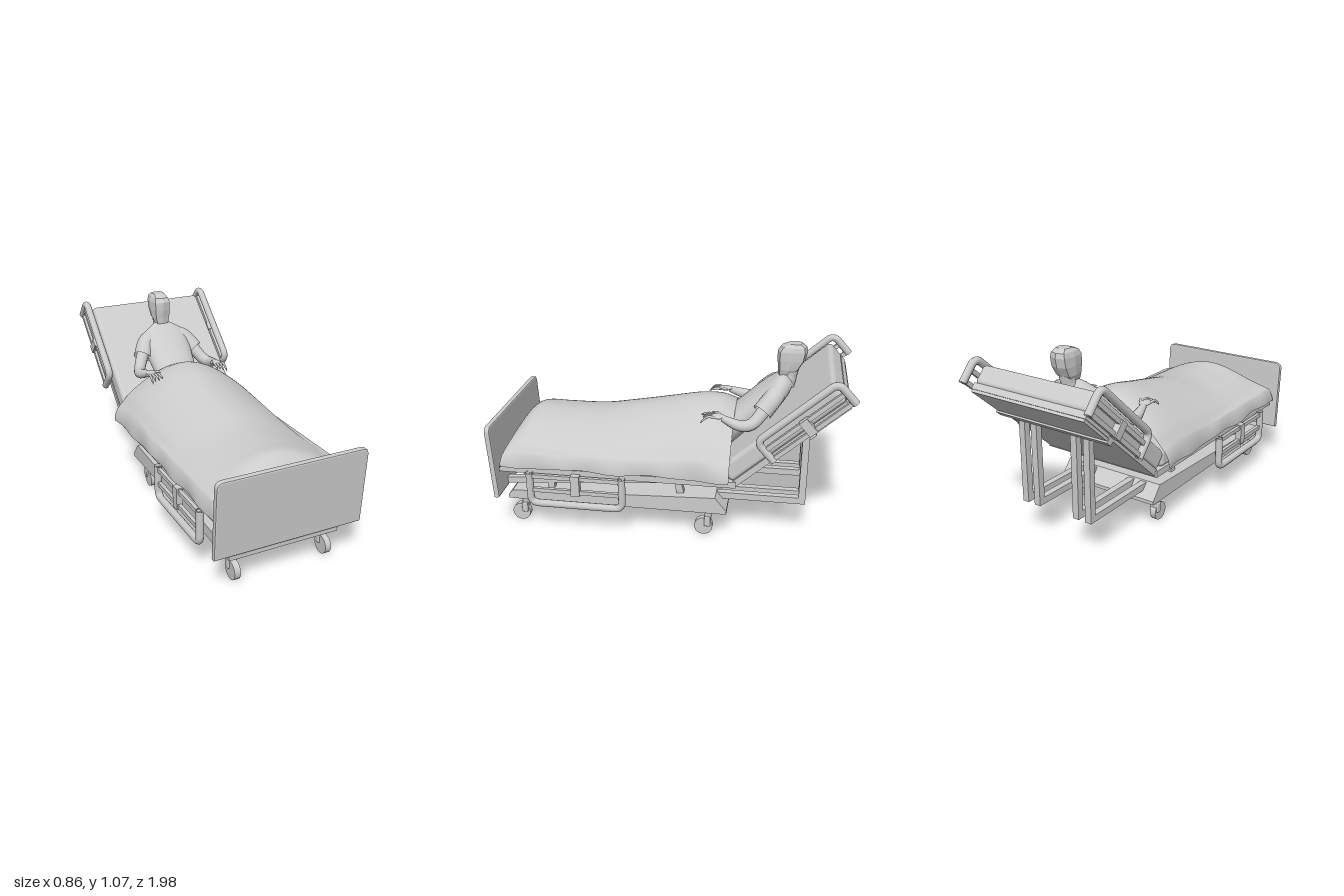
import * as THREE from 'three';
import { mergeVertices } from 'three/addons/utils/BufferGeometryUtils.js';
import { RoundedBoxGeometry } from 'three/addons/geometries/RoundedBoxGeometry.js';

const V = (x, y, z) => new THREE.Vector3(x, y, z);
const grey = new THREE.MeshStandardMaterial({ color: 0xcccccc });
const greyFlat = new THREE.MeshStandardMaterial({ color: 0xcccccc, flatShading: true });
const greyThin = new THREE.MeshStandardMaterial({ color: 0xcccccc, side: THREE.DoubleSide });
const TILT = 0.733; // lean of the raised back

function add(parent, name, geo, mat = grey, x = 0, y = 0, z = 0) {
  const m = new THREE.Mesh(geo, mat);
  m.name = name;
  m.position.set(x, y, z);
  parent.add(m);
  return m;
}

function group(parent, name, x = 0, y = 0, z = 0) {
  const g = new THREE.Group();
  g.name = name;
  g.position.set(x, y, z);
  parent.add(g);
  return g;
}

// Box given by its min and max on each axis
function box(parent, name, x0, x1, y0, y1, z0, z1, r = 0) {
  const s = [x1 - x0, y1 - y0, z1 - z0];
  const geo = r ? new RoundedBoxGeometry(...s, 3, r) : new THREE.BoxGeometry(...s);
  return add(parent, name, geo, grey, (x0 + x1) / 2, (y0 + y1) / 2, (z0 + z1) / 2);
}

// Square beam between two points of the side plane
function beam(parent, name, x, a, b, t) {
  const [z0, y0] = a, [z1, y1] = b;
  const geo = new THREE.BoxGeometry(t, t, Math.hypot(z1 - z0, y1 - y0));
  const m = add(parent, name, geo, grey, x, (y0 + y1) / 2, (z0 + z1) / 2);
  m.rotation.x = -Math.atan2(y1 - y0, z1 - z0);
}

// Smooth geometry without seams
function smooth(geo) {
  geo.deleteAttribute('uv');
  geo.deleteAttribute('normal');
  const g = mergeVertices(geo, 1e-5);
  g.computeVertexNormals();
  return g;
}

// Stack of squarish rings [y, zCentre, halfWidth, halfDepth], top first
function loft(rings, sides, power) {
  const n = rings.length - 1;
  const geo = new THREE.CylinderGeometry(1, 1, 1, sides, n);
  const p = geo.attributes.position;
  const sq = (v) => Math.sign(v) * Math.abs(v) ** power;
  for (let i = 0; i < p.count; i++) {
    const [y, zc, rx, rz] = rings[Math.round((0.5 - p.getY(i)) * n)];
    p.setXYZ(i, sq(p.getX(i)) * rx, y, zc + sq(p.getZ(i)) * rz);
  }
  return smooth(geo);
}

// Tube along points whose radius follows a list of values
function limb(points, radii, seg = 20, sides = 12) {
  const curve = new THREE.CatmullRomCurve3(points);
  const geo = new THREE.TubeGeometry(curve, seg, 1, sides);
  const p = geo.attributes.position, v = V();
  for (let i = 0; i < p.count; i++) {
    const t = Math.floor(i / (sides + 1)) / seg;
    v.fromBufferAttribute(p, i);
    const c = curve.getPointAt(t);
    const f = t * (radii.length - 1), k = Math.min(Math.floor(f), radii.length - 2);
    v.sub(c).multiplyScalar(THREE.MathUtils.lerp(radii[k], radii[k + 1], f - k)).add(c);
    p.setXYZ(i, v.x, v.y, v.z);
  }
  return smooth(geo);
}

// U-shaped side rail standing (h > 0) or hanging (h < 0) from its own origin
function sideRail(parent, name, x, y, z, h) {
  const g = group(parent, name, x, y, z);
  const L = 0.262, r = 0.045, k = h - Math.sign(h) * r;
  const path = new THREE.CurvePath();
  path.add(new THREE.LineCurve3(V(0, 0, L), V(0, k, L)));
  path.add(new THREE.QuadraticBezierCurve3(V(0, k, L), V(0, h, L), V(0, h, L - r)));
  path.add(new THREE.LineCurve3(V(0, h, L - r), V(0, h, r - L)));
  path.add(new THREE.QuadraticBezierCurve3(V(0, h, r - L), V(0, h, -L), V(0, k, -L)));
  path.add(new THREE.LineCurve3(V(0, k, -L), V(0, 0, -L)));
  add(g, 'railTube', new THREE.TubeGeometry(path, 80, 0.021, 10), greyThin);
  for (const f of [0.1, 0.55]) box(g, 'railBar', -0.01, 0.01, h * f - 0.012, h * f + 0.012, -L, L);
  box(g, 'railClip', -0.018, 0.018, Math.min(0, h * 0.65), Math.max(0, h * 0.65), -0.025, 0.025);
}

// Blanket: a grid draped over the body with hanging sides
function blanketGeometry() {
  // z, height over the body, height of the mattress, half width of the mound
  const rows = [[-0.35, 0.705, 0.5, 0.4], [-0.27, 0.735, 0.5, 0.4], [-0.15, 0.735, 0.5, 0.4],
    [0.03, 0.7, 0.5, 0.39], [0.25, 0.655, 0.5, 0.37], [0.46, 0.615, 0.5, 0.35], [0.68, 0.612, 0.5, 0.34],
    [0.79, 0.618, 0.5, 0.33], [0.84, 0.598, 0.5, 0.33], [0.9, 0.53, 0.49, 0.33], [0.922, 0.475, 0.46, 0.33],
    [0.93, 0.4, 0.4, 0.33]];
  const curves = [1, 2, 3].map((c) => new THREE.CatmullRomCurve3(rows.map((r) => V(r[0], r[c], 0))));
  const geo = new THREE.PlaneGeometry(2, 1, 64, 80);
  const p = geo.attributes.position;
  for (let i = 0; i < p.count; i++) {
    const u = p.getX(i), a = Math.abs(u), t = p.getY(i) + 0.5;
    const [top, bed, wide] = curves.map((c) => c.getPoint(1 - t));
    const z = top.x, flare = 0.02 * THREE.MathUtils.smoothstep(-z, 0.15, 0.34);
    const k = Math.max(0, (a - 0.78) / 0.22);
    let x = Math.min(a / 0.78, 1) * 0.38;
    let y = bed.y + (top.y - bed.y) * Math.max(0, 1 - (x / wide.y) ** 1.8);
    y -= 0.012 * THREE.MathUtils.smoothstep(x, 0.33, 0.38);
    const hem = 0.402 + 0.007 * Math.sin(z * 13 + u);
    y = THREE.MathUtils.lerp(y, Math.min(y, hem), k ** 1.3);
    x += (0.025 + flare) * Math.sin(k * Math.PI / 2) + 0.006 * k * Math.sin(z * 21 + u * 2);
    p.setXYZ(i, Math.sign(u) * x, y, z);
  }
  return smooth(geo);
}

export function createModel() {
  const model = new THREE.Group();
  model.name = 'bedWithPatient';

  // Wheeled base
  const base = group(model, 'base');
  const side = new THREE.Shape([[-0.925, 0.152], [-0.925, 0.175], [-0.9, 0.205], [0.27, 0.25], [0.335, 0.172], [0.335, 0.152]]
    .map(([a, b]) => new THREE.Vector2(a, b)));
  const deck = new THREE.ExtrudeGeometry(side, { depth: 0.63, bevelEnabled: false });
  add(base, 'basePlatform', deck.translate(0, 0, -0.315).rotateY(Math.PI / 2));
  for (const x of [-0.26, 0.273]) for (const z of [0.865, -0.205]) {
    const caster = group(base, 'caster', x, 0, z);
    add(caster, 'wheel', new THREE.CylinderGeometry(0.052, 0.052, 0.034, 20).rotateZ(Math.PI / 2), grey, 0, 0.052, 0);
    box(caster, 'casterFork', -0.027, 0.027, 0.055, 0.115, -0.04, -0.005, 0.006);
    add(caster, 'casterStem', new THREE.CylinderGeometry(0.02, 0.02, 0.06, 12), grey, 0, 0.135, -0.025);
  }

  // Lifting arms and the L-shaped supports under the back
  const lift = group(model, 'liftFrame');
  for (const s of [-1, 1]) {
    beam(lift, 'liftArm', s * 0.25, [0.94, 0.243], [-0.085, 0.325], 0.036);
    beam(lift, 'frontStrut', s * 0.25, [0.68, 0.2], [0.68, 0.36], 0.036);
    beam(lift, 'rearStrut', s * 0.25, [-0.07, 0.24], [-0.05, 0.34], 0.04);
    for (const x of [0.13, 0.21]) {
      box(lift, 'backPost', s * x - 0.019, s * x + 0.019, 0.206, 0.685, -0.765, -0.727);
      box(lift, 'backPostFoot', s * x - 0.019, s * x + 0.019, 0.206, 0.244, -0.74, -0.27);
    }
  }

  // Flat part of the bed
  const bed = group(model, 'bed');
  box(bed, 'bedFrame', -0.37, 0.37, 0.352, 0.388, -0.385, 0.945);
  box(bed, 'mattress', -0.365, 0.365, 0.385, 0.485, -0.33, 0.92, 0.025);

  // Footboard with rounded top corners
  const board = new THREE.Shape();
  board.moveTo(-0.412, 0).lineTo(0.412, 0).lineTo(0.412, 0.38).quadraticCurveTo(0.412, 0.412, 0.38, 0.412);
  board.lineTo(-0.38, 0.412).quadraticCurveTo(-0.412, 0.412, -0.412, 0.38);
  const boardGeo = new THREE.ExtrudeGeometry(board, { depth: 0.016, bevelSize: 0.008, bevelThickness: 0.008, bevelSegments: 2 });
  add(bed, 'footboard', boardGeo, grey, 0, 0.217, 0.948).rotation.x = 0.055;

  // Raised back: local -z runs up the back, +y faces the patient
  const back = group(model, 'raisedBack', 0, 0.36, -0.38);
  back.rotation.x = TILT;
  box(back, 'backFrame', -0.36, 0.36, -0.005, 0.03, -0.76, 0.01);
  box(back, 'headPanel', -0.355, 0.355, -0.02, 0.03, -0.755, -0.53);
  box(back, 'backCrossbar', -0.36, 0.36, -0.03, 0, -0.53, -0.49);
  box(back, 'backMattress', -0.36, 0.36, 0.025, 0.135, -0.765, 0.0, 0.025);

  for (const s of [-1, 1]) {
    sideRail(model, 'lowerSideRail', s * 0.393, 0.37, 0.5, -0.188);
    sideRail(back, 'upperSideRail', s * 0.393, 0.0, -0.535, 0.142);
  }

  add(model, 'blanket', blanketGeometry(), greyThin);

  // Patient
  const patient = group(model, 'patient');
  // Each ring: distance up the back, depth off the back, half width, half depth
  const torso = loft([[0.535, -0.215, 0.045, 0.042], [0.515, -0.21, 0.075, 0.05], [0.48, -0.205, 0.13, 0.06],
    [0.43, -0.2, 0.16, 0.068], [0.35, -0.2, 0.145, 0.075], [0.2, -0.2, 0.13, 0.075], [0.05, -0.19, 0.15, 0.08]], 28, 0.9);
  const torsoMesh = add(patient, 'torso', torso, grey, 0, 0.36, -0.38);
  torsoMesh.rotation.set(TILT - Math.PI / 2, 0, 0);
  torso.scale(1, 1, -1);
  torso.index.array.reverse();
  torso.computeVertexNormals();
  // The ring stack leans back along the mattress
  add(patient, 'neck', limb([V(0, 0.84, -0.615), V(0, 0.88, -0.632), V(0, 0.94, -0.645)], [0.055, 0.042, 0.042]));
  add(patient, 'head', loft([[1.068, -0.66, 0.036, 0.032], [1.05, -0.65, 0.05, 0.07], [1.025, -0.645, 0.057, 0.081],
    [0.975, -0.64, 0.057, 0.076], [0.925, -0.628, 0.052, 0.058], [0.892, -0.61, 0.04, 0.038]], 8, 0.6), greyFlat);

  for (const s of [-1, 1]) {
    const arm = group(patient, s > 0 ? 'leftArm' : 'rightArm');
    const P = (x, y, z) => V(s * x, y, z);
    add(arm, 'sleeve', limb([P(0.05, 0.825, -0.585), P(0.12, 0.795, -0.56), P(0.175, 0.725, -0.5)], [0.035, 0.053, 0.054, 0.055]), greyThin);
    add(arm, 'forearm', limb([P(0.12, 0.8, -0.565), P(0.175, 0.725, -0.505), P(0.215, 0.668, -0.45), P(0.235, 0.662, -0.395),
      P(0.22, 0.695, -0.29)], [0.035, 0.038, 0.036, 0.033, 0.028, 0.018]));
    const palm = new THREE.SphereGeometry(1, 14, 10).scale(0.03, 0.013, 0.043);
    add(arm, 'palm', palm, grey, s * 0.213, 0.702, -0.265);
    for (let i = 0; i < 4; i++) {
      const x = 0.191 + i * 0.015, tip = 0.178 + i * 0.021, reach = -0.18 + 0.009 * Math.abs(i - 1.5) - 0.004;
      add(arm, 'finger', limb([P(x, 0.702, -0.25), P((x + tip) / 2, 0.706, -0.215), P(tip, 0.692 - i * 0.008, reach)],
        [0.006, 0.008, 0.007, 0.006, 0], 10, 8));
    }
    add(arm, 'thumb', limb([P(0.2, 0.702, -0.28), P(0.178, 0.708, -0.26), P(0.165, 0.706, -0.23)], [0.008, 0.009, 0.007, 0], 10, 8));
  }
  return model;
}
